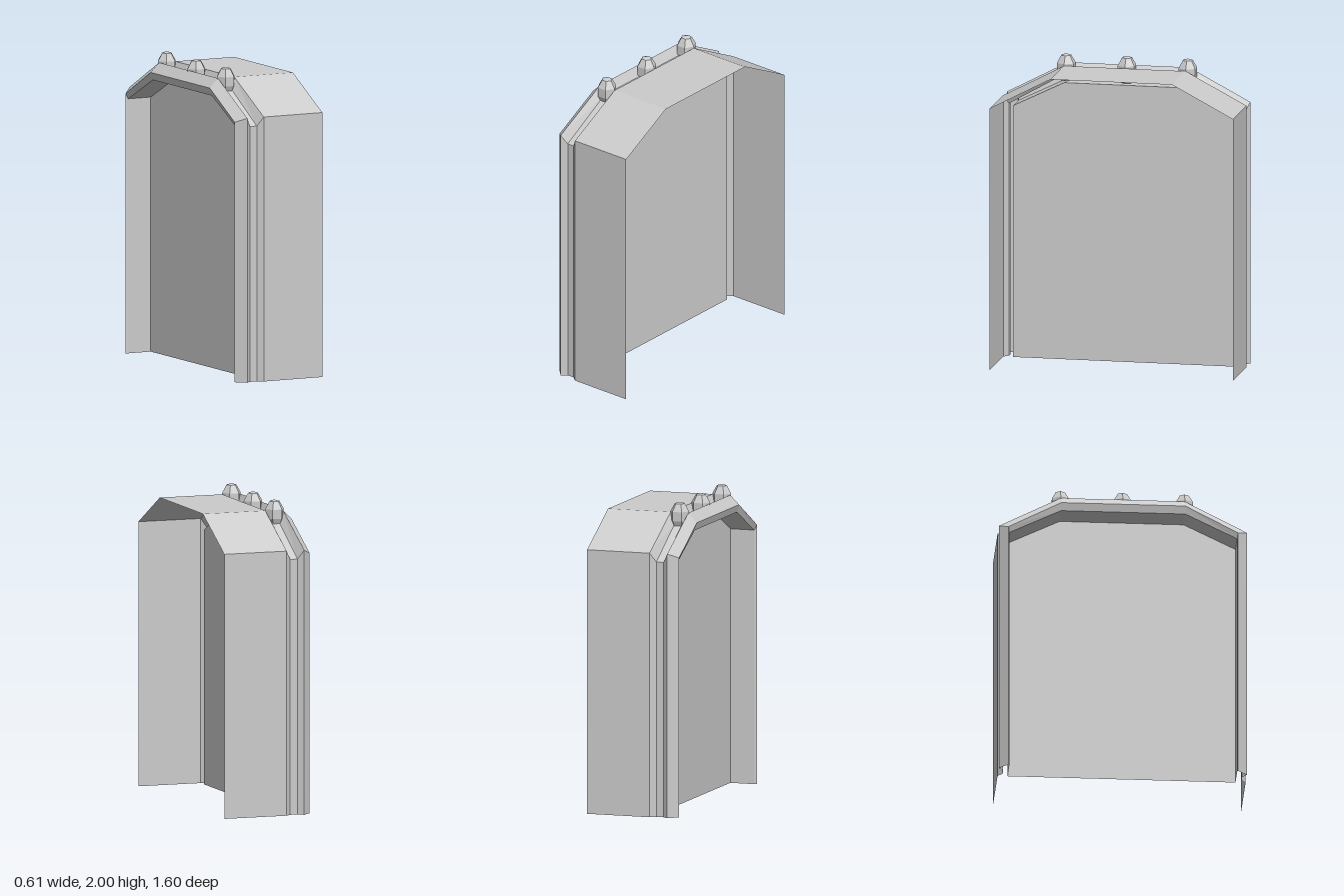
import * as THREE from 'three';

const mat = new THREE.MeshStandardMaterial({ color: 0xcccccc, flatShading: true, side: THREE.DoubleSide });

// Arched outline in the z-y plane: half width, shoulder height, top height
function outline([w, shoulder, top]) {
  return [[w, 0], [w, shoulder], [0.4, top], [-0.4, top], [-w, shoulder], [-w, 0]];
}

// Skin between successive outlines, each station being [x, outline sizes]
function loft(name, stations) {
  const pos = [], idx = [];
  for (const [x, size] of stations)
    for (const [z, y] of outline(size)) pos.push(x, y, z);
  for (let s = 0; s < stations.length - 1; s++)
    for (let i = 0; i < 5; i++) {
      const a = s * 6 + i, b = a + 6;
      idx.push(a, a + 1, b, b, a + 1, b + 1);
    }
  const geo = new THREE.BufferGeometry();
  geo.setAttribute('position', new THREE.Float32BufferAttribute(pos, 3));
  geo.setIndex(idx);
  geo.computeVertexNormals();
  const mesh = new THREE.Mesh(geo, mat);
  mesh.name = name;
  return mesh;
}

export function createModel() {
  const group = new THREE.Group();
  const outer = [0.8, 1.72, 1.93];
  const groove = [0.77, 1.66, 1.87];
  const rim = [0.74, 1.69, 1.87];
  const inner = [0.735, 1.655, 1.82];

  // Outer hood with its groove and bevelled rim
  group.add(loft('hood', [
    [0.303, outer], [-0.125, outer], [-0.16, groove],
    [-0.21, groove], [-0.245, outer], [-0.305, rim],
  ]));

  // Recess running from the rim back to the panel
  group.add(loft('recessWall', [[-0.305, rim], [-0.29, inner], [-0.125, inner]]));

  // Flat panel closing the recess
  const shape = new THREE.Shape(outline(inner).map(([z, y]) => new THREE.Vector2(-z, y)));
  const panel = new THREE.Mesh(new THREE.ShapeGeometry(shape), mat);
  panel.name = 'panel';
  panel.rotation.y = Math.PI / 2;
  panel.position.x = -0.125;
  group.add(panel);

  // Six-sided studs along the top groove
  const profile = [[0, 1.82], [0.036, 1.825], [0.063, 1.88], [0.063, 1.94], [0.034, 1.99], [0, 2]]
    .map(([r, y]) => new THREE.Vector2(r, y));
  const studGeo = new THREE.LatheGeometry(profile, 6).rotateY(Math.PI / 2);
  for (const z of [-0.4, 0, 0.4]) {
    const stud = new THREE.Mesh(studGeo, mat);
    stud.name = 'stud';
    stud.position.set(-0.188, 0, z);
    group.add(stud);
  }
  return group;
}
